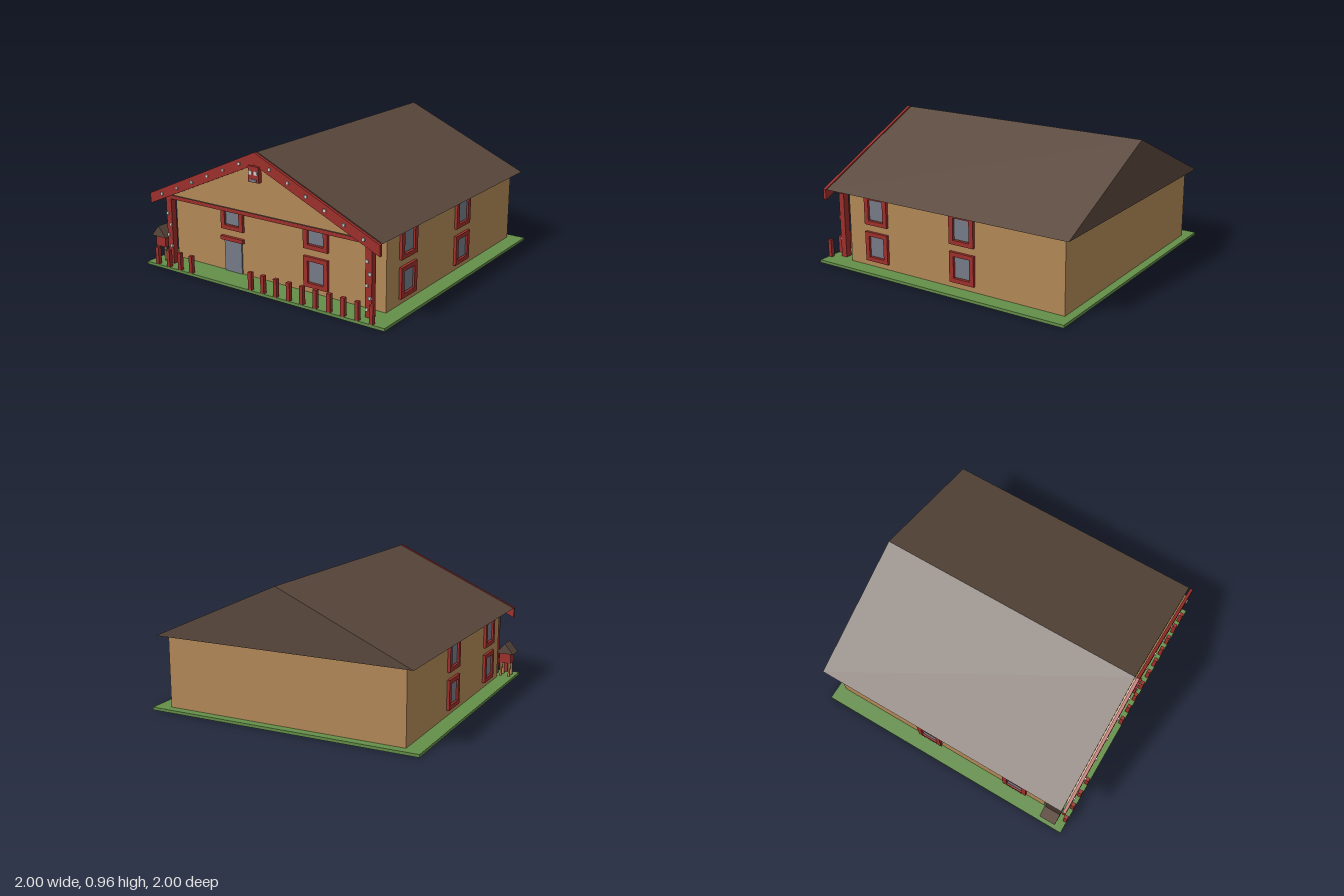
import * as THREE from 'three';

const mat = (name, color) => Object.assign(new THREE.MeshStandardMaterial({ color }), { name });

export function createModel() {
  const house = new THREE.Group();
  house.name = 'house';
  const grass = mat('grass green', 0x648f49);
  const plaster = mat('tan plaster', 0xb58a58);
  const roofBrown = mat('roof brown', 0x5b493d);
  const red = mat('timber red', 0x9e302b);
  const glass = mat('grey glass', 0x767c89);
  const white = mat('pale studs', 0xd6d0cb);

  const add = (parent, name, geo, m, x = 0, y = 0, z = 0) => {
    const mesh = new THREE.Mesh(geo, m);
    mesh.name = name;
    mesh.position.set(x, y, z);
    parent.add(mesh);
    return mesh;
  };
  // Box given by its minimum and maximum corners
  const box = (parent, name, m, x0, x1, y0, y1, z0, z1) => add(parent, name,
    new THREE.BoxGeometry(x1 - x0, y1 - y0, z1 - z0), m, (x0 + x1) / 2, (y0 + y1) / 2, (z0 + z1) / 2);
  // Outline in x and y, extruded from z0 to z1
  const slab = (parent, name, m, pts, z0, z1) => {
    const shape = new THREE.Shape(pts.map(([x, y]) => new THREE.Vector2(x, y)));
    return add(parent, name, new THREE.ExtrudeGeometry(shape, { depth: z1 - z0, bevelEnabled: false }), m, 0, 0, z0);
  };

  // Ground, walls and roof
  box(house, 'ground', grass, -1, 1, 0, 0.02, -1, 1);
  box(house, 'walls', plaster, -0.885, 0.885, 0.02, 0.535, -0.94, 0.8);
  slab(house, 'roof', roofBrown, [[-0.95, 0.535], [0.95, 0.535], [0, 0.96]], -0.995, 0.95);
  slab(house, 'gablePanel', plaster, [[-0.88, 0.545], [0.88, 0.545], [0, 0.94]], 0.95, 0.96);

  // Sloping gable boards with studs
  slab(house, 'gableBoards', red,
    [[-0.95, 0.46], [0, 0.88], [0.95, 0.46], [0.95, 0.535], [0, 0.962], [-0.95, 0.535]], 0.96, 0.982);
  for (const s of [-1, 1]) {
    for (let i = 0; i < 6; i++) {
      const x = 0.124 + i * 0.142, y = 0.869 - i * 0.0642;
      box(house, 'gableStud', white, s * x - 0.01, s * x + 0.01, y - 0.01, y + 0.01, 0.98, 0.99);
    }
  }

  // Carved face at the ridge
  const face = new THREE.Group();
  face.name = 'ridgeCarving';
  house.add(face);
  box(face, 'carvingBlock', red, -0.043, 0.043, 0.767, 0.873, 0.965, 0.994);
  for (const x of [-0.021, 0.021]) {
    box(face, 'carvingEye', white, x - 0.013, x + 0.013, 0.817, 0.843, 0.993, 0.999);
  }
  box(face, 'carvingMouth', glass, -0.026, 0.026, 0.773, 0.788, 0.993, 0.999);

  // Cross beam and studded porch posts
  box(house, 'crossBeam', red, -0.88, 0.88, 0.5, 0.535, 0.88, 0.925);
  for (const x of [-0.834, 0.834]) {
    box(house, 'porchPost', red, x - 0.024, x + 0.024, 0.02, 0.5, 0.88, 0.925);
    for (let i = 0; i < 5; i++) {
      const sx = x + (i % 2 ? 0.012 : -0.01), y = 0.39 - i * 0.079;
      box(house, 'postStud', white, sx - 0.01, sx + 0.01, y - 0.01, y + 0.01, 0.924, 0.933);
    }
  }

  // Windows: a framed opening with a pane, facing +z before turning
  const frameShape = new THREE.Shape();
  const rect = (path, w, h) => path.moveTo(-w, -h).lineTo(w, -h).lineTo(w, h).lineTo(-w, h).closePath();
  rect(frameShape, 0.097, 0.106);
  const hole = new THREE.Path();
  rect(hole, 0.063, 0.076);
  frameShape.holes.push(hole);
  const frameGeo = new THREE.ExtrudeGeometry(frameShape, { depth: 0.02, bevelEnabled: false });
  const paneGeo = new THREE.BoxGeometry(0.118, 0.142, 0.008);
  const addWindow = (x, y, z, turn) => {
    const win = new THREE.Group();
    win.name = 'window';
    win.position.set(x, y, z);
    win.rotation.y = turn;
    add(win, 'windowFrame', frameGeo, red);
    add(win, 'windowPane', paneGeo, glass, 0, 0, 0.004);
    house.add(win);
  };
  const upper = 0.433, lower = 0.168;
  addWindow(-0.353, upper, 0.8, 0);
  addWindow(0.353, upper, 0.8, 0);
  addWindow(0.353, lower, 0.8, 0);
  for (const s of [-1, 1]) {
    for (const z of [0.553, -0.169]) {
      for (const y of [upper, lower]) addWindow(s * 0.885, y, z, s * Math.PI / 2);
    }
  }

  // Door with lintel
  box(house, 'door', glass, -0.429, -0.277, 0.02, 0.247, 0.8, 0.81);
  box(house, 'doorLintel', red, -0.454, -0.256, 0.246, 0.274, 0.8, 0.822);

  // Fence posts along the front, leaving a gap before the door
  for (let i = 0; i < 18; i++) {
    if (i >= 4 && i <= 7) continue;
    const x = -0.901 + i * 0.106;
    box(house, 'fencePost', red, x - 0.014, x + 0.014, 0.02, 0.145, 0.971, 0.999);
  }

  // Small storehouse on stilts
  const store = new THREE.Group();
  store.name = 'stiltStore';
  house.add(store);
  box(store, 'storeBox', red, -0.977, -0.887, 0.125, 0.205, 0.838, 0.926);
  slab(store, 'storeRoof', roofBrown, [[-1, 0.202], [-0.864, 0.202], [-0.932, 0.282]], 0.82, 0.943);
  for (const x of [-0.964, -0.9]) {
    for (const z of [0.853, 0.911]) {
      box(store, 'stilt', plaster, x - 0.007, x + 0.007, 0.02, 0.126, z - 0.007, z + 0.007);
    }
  }
  return house;
}
